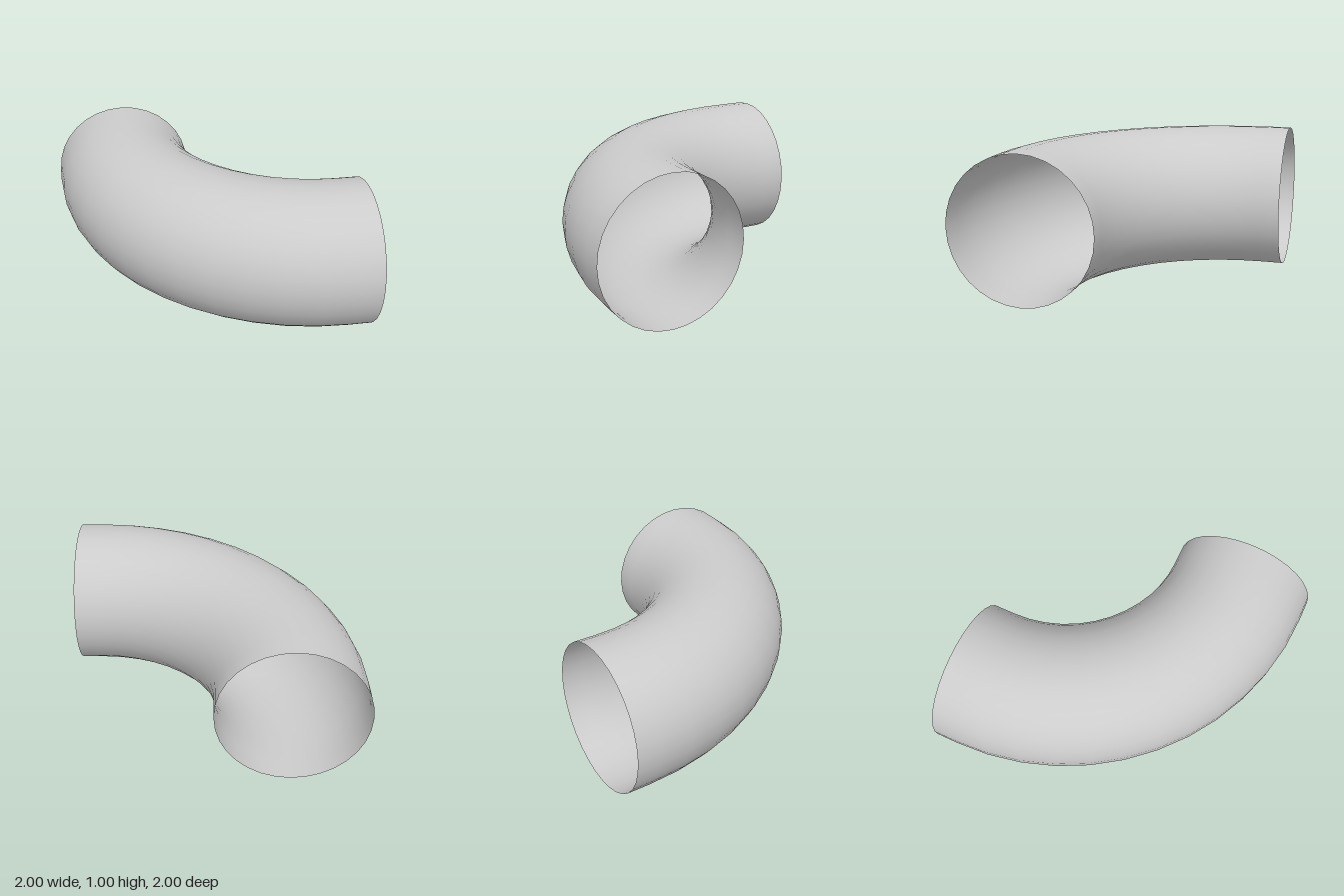
import * as THREE from 'three';

const PIPE_RADIUS = 0.5;
const BEND_RADIUS = 1.35;
const COLLAR = 0.15; // straight length at each end
const BEND_STEPS = 12;
const ROWS = BEND_STEPS + 2;

// Frame of one ring: x = away from the bend centre, y = along the pipe, z = up
function ringFrame(row) {
  const step = THREE.MathUtils.clamp(row - 1, 0, BEND_STEPS);
  const angle = (step / BEND_STEPS) * Math.PI / 2;
  const out = new THREE.Vector3(-Math.cos(angle), 0, Math.sin(angle));
  const along = new THREE.Vector3(Math.sin(angle), 0, Math.cos(angle));
  const up = new THREE.Vector3(0, 1, 0);
  const straight = row === 0 ? -COLLAR : row === ROWS ? COLLAR : 0;
  const centre = new THREE.Vector3(1 - COLLAR, PIPE_RADIUS, COLLAR - 1)
    .addScaledVector(out, BEND_RADIUS)
    .addScaledVector(along, straight);
  return new THREE.Matrix4().makeBasis(out, along, up).setPosition(centre);
}

// Open cylinder whose rings are moved onto the quarter bend
function elbowGeometry() {
  const geometry = new THREE.CylinderGeometry(PIPE_RADIUS, PIPE_RADIUS, 1, 32, ROWS, true);
  const { position, normal } = geometry.attributes;
  const p = new THREE.Vector3();
  const n = new THREE.Vector3();
  for (let i = 0; i < position.count; i++) {
    p.fromBufferAttribute(position, i);
    n.fromBufferAttribute(normal, i);
    const frame = ringFrame(Math.round((p.y + 0.5) * ROWS));
    p.setY(0).applyMatrix4(frame);
    n.transformDirection(frame);
    position.setXYZ(i, p.x, p.y, p.z);
    normal.setXYZ(i, n.x, n.y, n.z);
  }
  return geometry;
}

export function createModel() {
  const group = new THREE.Group();
  group.name = 'pipeElbow';
  const material = new THREE.MeshStandardMaterial({ color: 0xcccccc, side: THREE.DoubleSide });
  const pipe = new THREE.Mesh(elbowGeometry(), material);
  pipe.name = 'bentPipe';
  group.add(pipe);
  return group;
}
